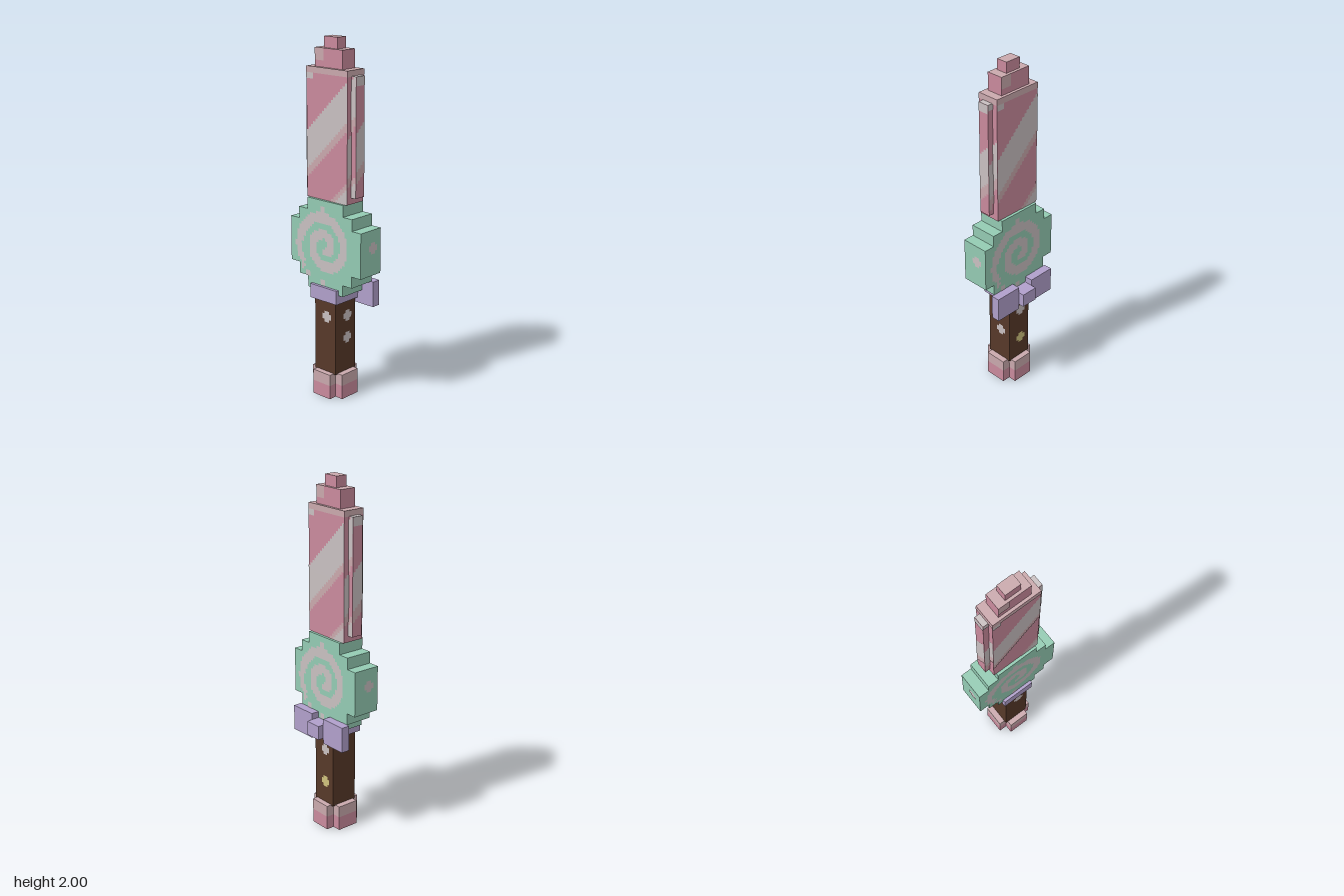
import * as THREE from 'three';
import { mergeGeometries } from 'three/addons/utils/BufferGeometryUtils.js';

const CZ = 0.023; // depth centre of blade, disc and handle
const PIXEL = 0.016;

export function createModel() {
  const model = new THREE.Group();
  model.name = 'candyDagger';

  const mat = (name, color) => {
    const m = new THREE.MeshStandardMaterial({ color });
    m.name = name;
    return m;
  };
  const pink = mat('pink', 0xca8a9d);
  const rose = mat('dustyRose', 0xcaa9ad);
  const pale = mat('paleCream', 0xc9c0c1);
  const mint = mat('mint', 0x94cbb3);
  const lilac = mat('lilac', 0xb1a0cb);
  const brown = mat('chocolate', 0x573929);
  const yellow = mat('yellow', 0xcfc27c);

  // Box given by its limits on each axis; top may have its own colour
  function box(name, [x0, x1], [y0, y1], [z0, z1], side, top = side) {
    const mesh = new THREE.Mesh(
      new THREE.BoxGeometry(x1 - x0, y1 - y0, z1 - z0),
      top === side ? side : [side, side, top, side, side, side]);
    mesh.name = name;
    mesh.position.set((x0 + x1) / 2, (y0 + y1) / 2, (z0 + z1) / 2);
    model.add(mesh);
    return mesh;
  }
  const span = (half, centre = 0) => [centre - half, centre + half];

  // Pixel decoration on a flat face: colourAt(u, v) returns a material or null.
  // turn rotates the face about y, dist is its distance from the centre line.
  function paint(name, [u0, u1], [v0, v1], dist, turn, colourAt) {
    const group = new THREE.Group();
    group.name = name;
    group.position.z = CZ;
    group.rotation.y = turn;
    const nu = Math.max(1, Math.round((u1 - u0) / PIXEL));
    const nv = Math.max(1, Math.round((v1 - v0) / PIXEL));
    const du = (u1 - u0) / nu, dv = (v1 - v0) / nv;
    const layers = new Map();
    for (let j = 0; j < nv; j++) {
      const v = v0 + (j + 0.5) * dv;
      let start = 0, current = null;
      for (let i = 0; i <= nu; i++) {
        const next = i < nu ? colourAt(u0 + (i + 0.5) * du, v) : null;
        if (next === current && i < nu) continue;
        if (current) {
          const strip = new THREE.PlaneGeometry((i - start) * du, dv);
          strip.translate(u0 + (start + i) / 2 * du, v, dist + 0.002);
          if (!layers.has(current)) layers.set(current, []);
          layers.get(current).push(strip);
        }
        start = i;
        current = next;
      }
    }
    for (const [material, strips] of layers) {
      const mesh = new THREE.Mesh(mergeGeometries(strips), material);
      mesh.name = name + '_' + material.name;
      group.add(mesh);
    }
    model.add(group);
  }
  const FRONT = 0, RIGHT = Math.PI / 2, BACK = Math.PI, LEFT = -Math.PI / 2;

  // Round dot with stepped corners
  function dot(name, u, v, dist, turn, material) {
    const r = 0.032;
    paint(name, span(r, u), span(r, v), dist, turn, (a, b) =>
      Math.abs(a - u) + Math.abs(b - v) < 0.045 ? material : null);
  }

  // Blade: main slab, edge strips and stepped tip
  box('blade', span(0.146), [1.13, 1.84], span(0.064, CZ), pink, rose);
  for (const s of [-1, 1])
    box('bladeEdge', span(0.0175, s * 0.161), [1.165, 1.81], span(0.0325, CZ), pink, pale);
  box('tipStep', span(0.098), [1.84, 1.94], span(0.048, CZ), pink, rose);
  box('tipPoint', span(0.047), [1.94, 2], span(0.0325, CZ), pink, rose);

  // Diagonal candy stripes
  const stripe = (shift) => (u, v) => {
    if (v > 1.81) return rose;
    const t = v - u + shift;
    if (t < 1.07) return pale;
    if (t < 1.11) return rose;
    if (t > 1.43 && t < 1.645) return pale;
    if (t > 1.375 && t <= 1.43) return rose;
    if (u < -0.1 && v > 1.78) return pale;
    return null;
  };
  for (const turn of [FRONT, BACK]) {
    paint('bladeStripes', span(0.146), [1.13, 1.84], 0.064, turn, stripe(0));
    for (const s of [-1, 1])
      paint('edgeStripes', span(0.0175, s * 0.161), [1.165, 1.81], 0.0325, turn, stripe(0));
    paint('tipPatch', [-0.098, -0.034], [1.875, 1.94], 0.048, turn, () => rose);
  }
  for (const turn of [LEFT, RIGHT]) {
    paint('bladeSideStripes', span(0.064), [1.13, 1.84], 0.146, turn, stripe(0.1));
    paint('edgeSideStripes', span(0.0325), [1.165, 1.81], 0.1785, turn, (u, v) =>
      v > 1.76 ? pale : stripe(0.1)(u, v));
  }

  // Stepped disc guard, outlined by mirroring one quarter
  const DY = 0.873;
  const quarter = [[0.258, 0.127], [0.195, 0.127], [0.195, 0.192], [0.13, 0.192], [0.13, 0.257]];
  const back = [...quarter].reverse();
  const outline = [
    ...quarter,
    ...back.map(([x, y]) => [-x, y]),
    ...quarter.map(([x, y]) => [-x, -y]),
    ...back.map(([x, y]) => [x, -y]),
  ].map(([x, y]) => new THREE.Vector2(x, y));
  const disc = new THREE.Mesh(
    new THREE.ExtrudeGeometry(new THREE.Shape(outline), { depth: 0.16, bevelEnabled: false }), mint);
  disc.name = 'discGuard';
  disc.position.set(0, DY, CZ - 0.08);
  model.add(disc);

  // Spiral winding clockwise into the disc, with a few crumbs at its tail
  const crumbs = [[-0.165, -0.14], [-0.125, -0.18], [-0.195, -0.08], [-0.015, -0.21], [-0.02, 0.205]];
  const swirl = (u, v) => {
    const y = v - DY;
    const r = Math.hypot(u, y);
    let a = Math.atan2(y, -u) / (2 * Math.PI);
    if (a < 0) a += 1;
    for (let turns = a; turns < 1.85; turns += 1)
      if (Math.abs(r - (0.185 - 0.095 * turns)) < 0.028) return pale;
    if (a > 0.9 && Math.abs(r - 0.2) < 0.018) return pale;
    return crumbs.some(([cx, cy]) => Math.hypot(u - cx, y - cy) < 0.017) ? pale : null;
  };
  for (const turn of [FRONT, BACK])
    paint('swirl', span(0.224), span(0.224, DY), 0.08, turn, swirl);
  for (const turn of [LEFT, RIGHT])
    dot('discDot', 0.016, 0.9, 0.258, turn, pale);

  // Ribbon collar with a bow behind
  box('collar', span(0.098), [0.565, 0.645], [-0.06, 0.12], lilac);
  for (const s of [-1, 1])
    box('bowWing', span(0.08, s * 0.13), [0.535, 0.68], [-0.105, -0.055], lilac);
  box('bowKnot', span(0.049), [0.565, 0.645], [-0.138, -0.055], lilac);

  // Handle with sprinkles
  box('handle', span(0.077), [0.14, 0.57], span(0.08, CZ), brown);
  dot('frontSprinkle', 0.013, 0.472, 0.08, FRONT, pale);
  dot('backSprinkle', 0.012, 0.472, 0.08, BACK, pale);
  dot('backSprinkle', 0.012, 0.275, 0.08, BACK, yellow);
  for (const y of [0.472, 0.342])
    dot('sideSprinkle', 0.014, y, 0.077, RIGHT, pale);

  // Cross-shaped pommel, paler in its upper half
  for (const [y, material] of [[[0, 0.08], pink], [[0.08, 0.145], rose]]) {
    box('pommelWide', span(0.112), y, span(0.064, CZ), material);
    box('pommelDeep', span(0.063), y, span(0.112, CZ), material);
  }

  return model;
}
